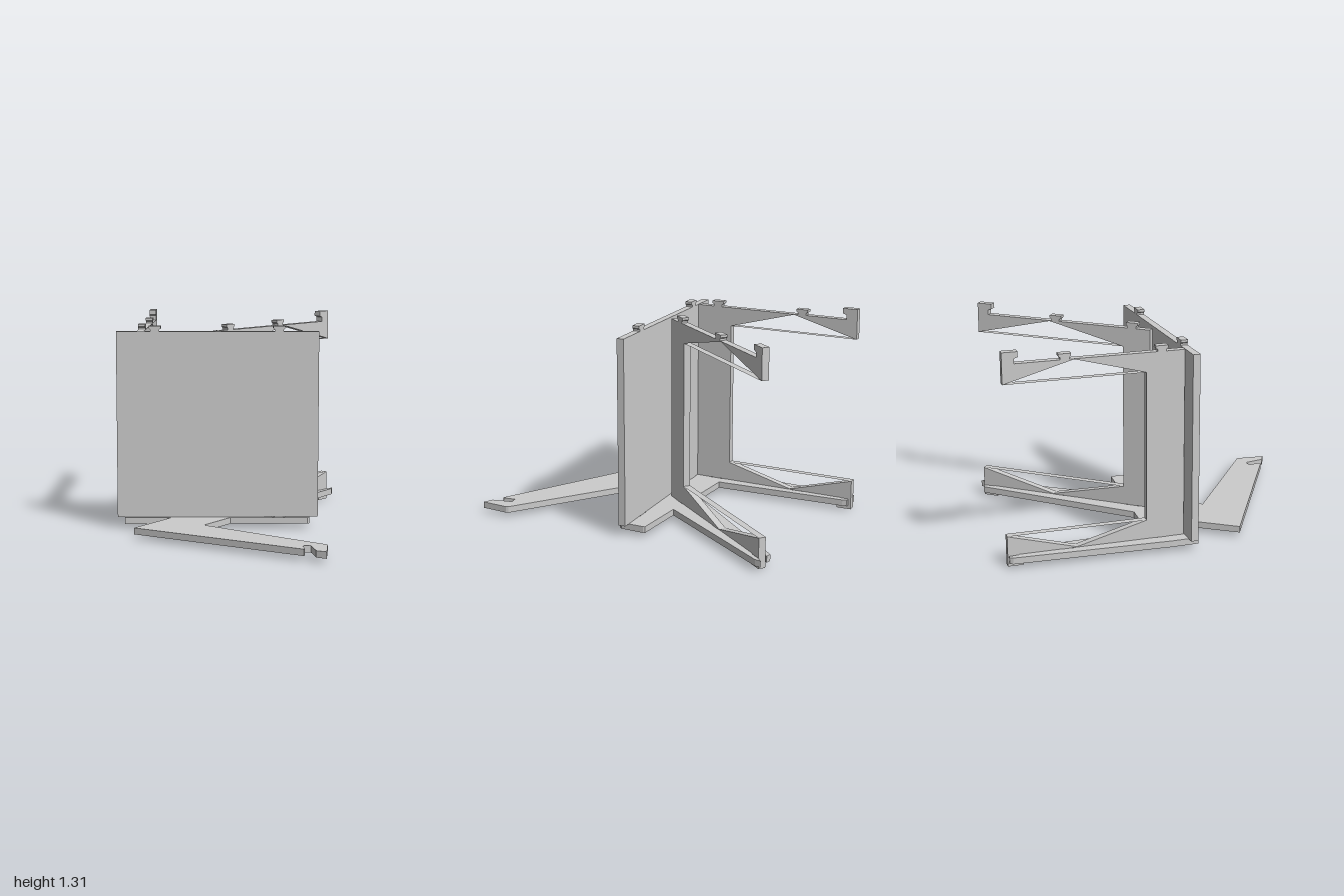
import * as THREE from 'three';

const MAT = new THREE.MeshStandardMaterial({ color: 0xcccccc, flatShading: true, side: THREE.DoubleSide });
const T = 0.045;                 // thickness of the upright boards
const LOW = 0.08, HIGH = 1.25;   // bottom and top edges of the boards
const flip = y => LOW + HIGH - y;

// Boards run from (x0, z0) to (x1, z1) in plan; tabs are distances along them
const PANEL = { name: 'frontPanel', from: [-0.67, 0.133], to: [0.585, -0.002], tabs: [0.24, 1.015] };
const RIBS = [
  { name: 'rightRib', from: [-0.525, 0.092], to: [-0.6, -0.998], tabs: [0.14, 0.725], inner: 0.235, apex: 0.67 },
  { name: 'centreRib', from: [-0.06, 0.008], to: [0.597, -0.968], tabs: [0.12, 0.635], inner: 0.18, apex: 0.675 },
];

const shapeOf = pts => new THREE.Shape(pts.map(p => new THREE.Vector2(p[0], p[1])));
const lengthOf = b => Math.hypot(b.to[0] - b.from[0], b.to[1] - b.from[1]);

function addMesh(parent, name, geometry) {
  const mesh = new THREE.Mesh(geometry, MAT);
  mesh.name = name;
  parent.add(mesh);
  return mesh;
}

function extrude(shape, depth) {
  return new THREE.ExtrudeGeometry(shape, { depth, bevelEnabled: false });
}

// Upright board: outline extruded around its centre plane, with flared tabs on both edges
function makeBoard(board, outline) {
  const group = new THREE.Group();
  group.name = board.name;
  addMesh(group, 'board', extrude(shapeOf(outline), T).translate(0, 0, -T / 2));
  for (const s of board.tabs) {
    const tab = [[s - 0.027, HIGH], [s + 0.027, HIGH], [s + 0.027, HIGH + 0.012], [s + 0.038, HIGH + 0.02],
      [s + 0.038, HIGH + 0.035], [s - 0.038, HIGH + 0.035], [s - 0.038, HIGH + 0.02], [s - 0.027, HIGH + 0.012]];
    addMesh(group, 'topTab', extrude(shapeOf(tab), T).translate(0, 0, -T / 2));
    const lower = tab.map(([x, y]) => [x, flip(y)]);
    addMesh(group, 'bottomTab', extrude(shapeOf(lower), T).translate(0, 0, -T / 2));
  }
  group.position.set(board.from[0], 0, board.from[1]);
  group.rotation.y = Math.atan2(board.from[1] - board.to[1], board.to[0] - board.from[0]);
  return group;
}

// C-shaped rib with hooked arm tips and thin strips bridging the tapered arms
function makeRib(rib) {
  const L = lengthOf(rib);
  const upper = [[0, HIGH], [L - 0.072, HIGH], [L - 0.072, 1.28], [L - 0.095, 1.288], [L - 0.095, 1.32],
    [L, 1.32], [L, 1.13], [rib.apex, HIGH - 0.003], [rib.inner, 1.13]];
  const lower = upper.map(([x, y]) => [x, flip(y)]).reverse();
  const group = makeBoard(rib, [...upper, ...lower]);
  for (const y of [1.13, flip(1.13)]) {
    const strip = new THREE.PlaneGeometry(L - rib.inner, T).rotateX(-Math.PI / 2);
    addMesh(group, 'armStrip', strip).position.set((L + rib.inner) / 2, y, 0);
  }
  return group;
}

// Flat base with three arms, a hooked front leg and slots for the tabs
function makeBase() {
  const outline = [
    // right rear arm with tip notch
    [-0.62, 0.17], [-0.635, 0], [-0.665, -0.97], [-0.655, -0.99], [-0.635, -0.99], [-0.624, -0.93], [-0.568, -0.93],
    [-0.572, -0.98], [-0.56, -0.99], [-0.543, -0.985], [-0.535, -0.96], [-0.44, -0.11],
    // left rear arm with tip notch
    [-0.13, -0.12], [0.515, -0.965], [0.535, -0.99], [0.57, -0.985], [0.532, -0.921], [0.578, -0.889],
    [0.625, -0.96], [0.655, -0.99], [0.65, -0.95], [0.17, -0.12],
    // side wing
    [0.525, -0.13], [0.53, -0.12], [0.535, 0.035], [0.525, 0.05], [0.04, 0.1],
    // bent front leg with hook
    [-0.1, 0.34], [0.665, 0.8], [0.672, 0.815], [0.672, 0.99], [0.61, 0.965], [0.575, 0.838], [0.53, 0.85],
    [0.545, 0.925], [0.54, 0.935], [-0.515, 0.463], [-0.33, 0.14],
  ];
  const shape = shapeOf(outline.map(([x, z]) => [x, -z]));
  for (const b of [PANEL, ...RIBS]) {
    const L = lengthOf(b);
    const dx = (b.to[0] - b.from[0]) / L, dz = (b.to[1] - b.from[1]) / L;
    for (const s of b.tabs) {
      const corners = [[-1, -1], [1, -1], [1, 1], [-1, 1]].map(([u, v]) => {
        const a = s + u * 0.042, w = v * 0.025;
        return new THREE.Vector2(b.from[0] + dx * a - dz * w, -(b.from[1] + dz * a + dx * w));
      });
      shape.holes.push(new THREE.Path(corners));
    }
  }
  return extrude(shape, 0.04).rotateX(-Math.PI / 2).translate(0, 0.04, 0);
}

export function createModel() {
  const model = new THREE.Group();
  model.name = 'slottedStand';
  addMesh(model, 'basePlate', makeBase());
  const L = lengthOf(PANEL);
  model.add(makeBoard(PANEL, [[0, LOW], [L, LOW], [L, HIGH], [0, HIGH]]));
  for (const rib of RIBS) model.add(makeRib(rib));
  return model;
}
